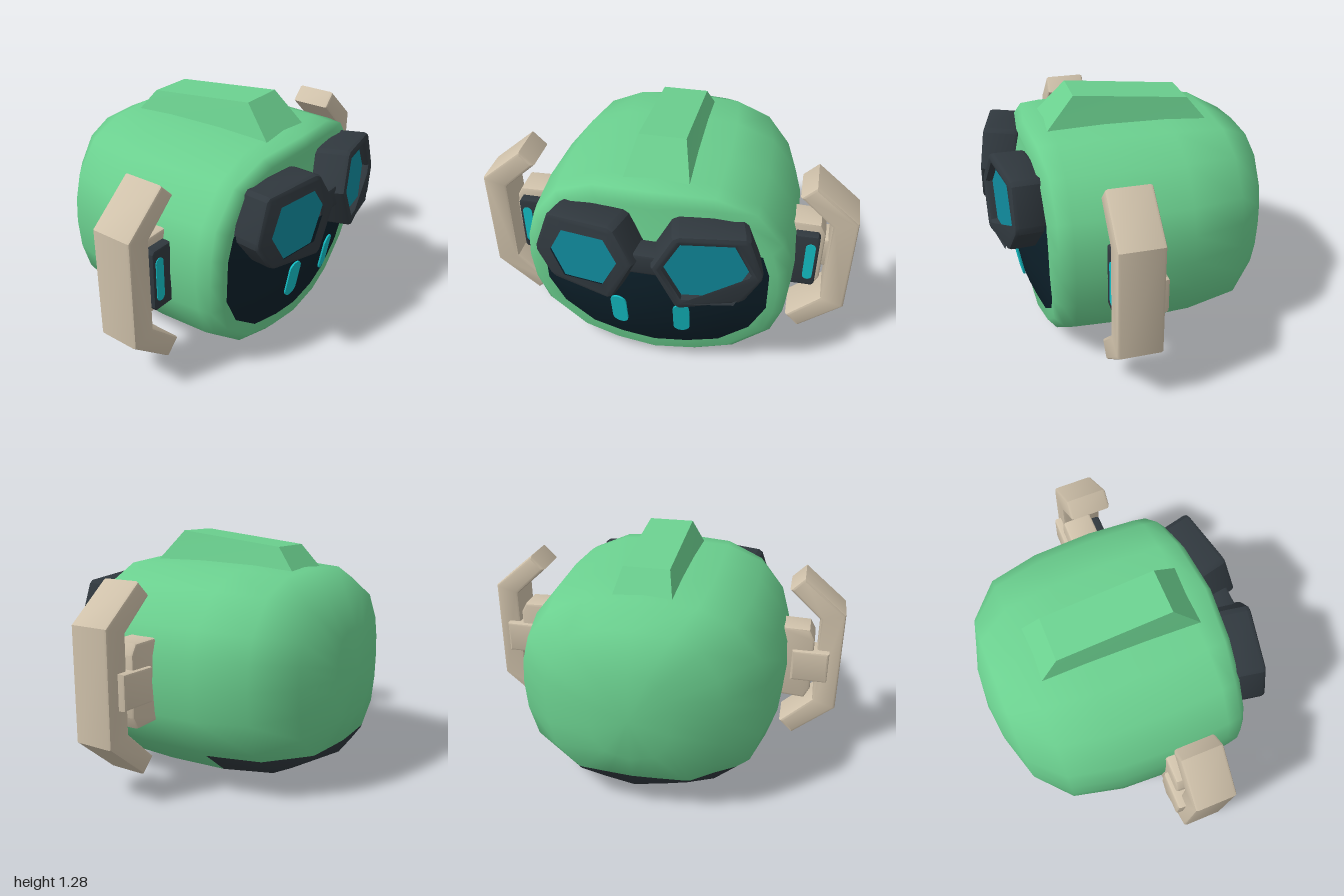
import * as THREE from 'three';
import { mergeVertices, toCreasedNormals } from 'three/addons/utils/BufferGeometryUtils.js';

const paint = (name, color) => Object.assign(new THREE.MeshStandardMaterial({ color }), { name });

// Full counter-clockwise outline from its right half, listed bottom to top
const mirrorOutline = half => [
  ...half, ...half.slice(1, -1).reverse().map(([x, y]) => [-x, y])];

// Closed rings of points joined into one smooth skin
function loft(rings) {
  const n = rings[0].length, index = [];
  for (let i = 0; i < rings.length - 1; i++) {
    for (let j = 0; j < n; j++) {
      const a = i * n + j, b = i * n + (j + 1) % n;
      index.push(a, b, b + n, a, b + n, a + n);
    }
  }
  const g = new THREE.BufferGeometry();
  g.setAttribute('position', new THREE.Float32BufferAttribute(rings.flat(2), 3));
  g.setIndex(index);
  const merged = mergeVertices(g);
  merged.computeVertexNormals();
  return merged;
}

// Splits a skin by a test on triangles and a level cut at height y
function splitBelow(geometry, y, zMax) {
  const g = geometry.toNonIndexed(), P = g.attributes.position, N = g.attributes.normal;
  const sides = [[], []];
  for (let t = 0; t < P.count; t += 3) {
    const tri = [0, 1, 2].map(k => [
      P.getX(t + k), P.getY(t + k), P.getZ(t + k), N.getX(t + k), N.getY(t + k), N.getZ(t + k)]);
    if (tri.some(v => v[2] > zMax + 0.001)) { sides[0].push(...tri); continue; }
    [1, -1].forEach((sign, s) => {
      const poly = [];
      tri.forEach((a, k) => {
        const b = tri[(k + 1) % 3], da = sign * (a[1] - y), db = sign * (b[1] - y);
        if (da >= 0) poly.push(a);
        if (da * db < 0) poly.push(a.map((v, c) => v + (b[c] - v) * da / (da - db)));
      });
      for (let k = 1; k < poly.length - 1; k++) sides[s].push(poly[0], poly[k], poly[k + 1]);
    });
  }
  return sides.map(list => {
    const out = new THREE.BufferGeometry();
    const set = (key, a) => out.setAttribute(key, new THREE.Float32BufferAttribute(list.flatMap(v => v.slice(a, a + 3)), 3));
    set('position', 0);
    set('normal', 3);
    return out;
  });
}

const toShape = pts => new THREE.Shape(pts.map(([x, y]) => new THREE.Vector2(x, y)));

// Extrusion whose bevels stay inside the z range
function slab(shape, z0, z1, bevel = 0) {
  const g = new THREE.ExtrudeGeometry(shape, {
    depth: z1 - z0 - 2 * bevel, bevelEnabled: bevel > 0, bevelSize: bevel, bevelOffset: -bevel,
    bevelThickness: bevel, bevelSegments: 2, curveSegments: 10 });
  g.translate(0, 0, z0 + bevel);
  return toCreasedNormals(g, 0.5);
}

// Upright pill centred on the origin
function pill(w, h) {
  const r = w / 2, d = h / 2 - r, s = new THREE.Shape();
  s.absarc(0, d, r, 0, Math.PI);
  s.absarc(0, -d, r, Math.PI, 2 * Math.PI);
  return s;
}

export function createModel() {
  const green = paint('shell green', 0x6bd08f), visorDark = paint('visor navy', 0x0c1f29),
    charcoal = paint('charcoal', 0x30383e), teal = paint('lens teal', 0x10889a),
    cyan = paint('glow cyan', 0x13bfc6), tan = paint('warm tan', 0xcfc1aa);
  const root = new THREE.Group();
  root.name = 'robotHead';
  const add = (parent, name, geometry, material, x = 0, y = 0, z = 0) => {
    const m = new THREE.Mesh(geometry, material);
    m.name = name;
    m.position.set(x, y, z);
    parent.add(m);
    return m;
  };

  // Bulging face surface shared by the shell front and the visor
  const faceZ = (x, y) => 0.635 - 0.36 * x * x - 0.45 * (y - 0.6) ** 2;

  // Head shell, back to front
  const outline = mirrorOutline([[0, 0.005], [0.23, 0.04], [0.44, 0.08], [0.64, 0.24], [0.695, 0.41],
    [0.71, 0.58], [0.70, 0.72], [0.66, 0.86], [0.52, 1.035], [0.315, 1.12], [0, 1.137]]);
  const ring = (sx, sy, yc, zAt) => outline.map(([ox, oy]) => {
    const x = ox * sx, y = yc + (oy - 0.57) * sy;
    return [x, y, zAt(x, y)];
  });
  const back = [[-0.745, 0, 0, 0.585], [-0.72, 0.29, 0.42, 0.585], [-0.645, 0.64, 0.78, 0.58],
    [-0.475, 0.9, 0.94, 0.575], [-0.2, 0.99, 0.985, 0.57], [0.13, 1.01, 1, 0.57], [0.4, 0.985, 0.995, 0.57]];
  const front = [[0.97, 0.98, 0.015], [0.9, 0.9, 0.032], [0.84, 0.82, -0.005], [0.5, 0.5, -0.012], [0, 0, -0.012]];
  const skin = loft([
    ...back.map(([z, sx, sy, yc]) => ring(sx, sy, yc, () => z)),
    ...front.map(([sx, sy, dz]) => ring(sx, sy, 0.57, (x, y) => faceZ(x, y) + dz))]);
  const [shell, nape] = splitBelow(skin, 0.21, -0.2);
  add(root, 'headShell', shell, green);
  add(root, 'napePad', nape, charcoal);

  // Visor
  const visorOutline = mirrorOutline([[0, 0.12], [0.18, 0.143], [0.35, 0.17], [0.51, 0.29], [0.59, 0.45],
    [0.59, 0.68], [0.55, 0.8], [0.42, 0.86], [0.2, 0.86], [0, 0.86]]);
  add(root, 'visor', loft([1, 0.8, 0.6, 0.4, 0.2, 0].map(s => visorOutline.map(([ox, oy]) => {
    const x = ox * s, y = 0.5 + (oy - 0.5) * s;
    return [x, y, faceZ(x, y) + 0.004];
  }))), visorDark);

  // Crest: a tapered fin made from a box with moved corners
  const crest = new THREE.BoxGeometry(1, 1, 1), cp = crest.attributes.position;
  for (let i = 0; i < cp.count; i++) {
    const top = cp.getY(i) > 0, fore = cp.getZ(i) > 0, side = Math.sign(cp.getX(i));
    if (top) cp.setXYZ(i, side * 0.12, fore ? 1.285 : 1.22, fore ? 0.28 : -0.33);
    else cp.setXYZ(i, side * (fore ? 0.18 : 0.165), fore ? 1.07 : 1.05, fore ? 0.475 : -0.47);
  }
  crest.computeVertexNormals();
  add(root, 'crest', crest, green);

  // Outlines of one goggle, relative to its centre
  const rim = toShape([[-0.265, 0.02], [-0.245, -0.02], [-0.152, -0.205], [-0.125, -0.222], [0.165, -0.182],
    [0.193, -0.165], [0.268, -0.045], [0.27, -0.01], [0.2, 0.178], [0.175, 0.195], [-0.135, 0.205], [-0.168, 0.19]]);
  const opening = [[-0.202, 0.015], [-0.112, -0.155], [0.12, -0.165], [0.2, -0.01], [0.12, 0.14], [-0.122, 0.148]];
  rim.holes.push(new THREE.Path(opening.map(([x, y]) => new THREE.Vector2(x * 1.03, y * 1.03))));
  const flip = (pts, s) => pts.map(p => new THREE.Vector2(p.x * s, p.y));

  // Handle bracket outline
  const handle = [[1, 0.31], [1, 0.89], [0.77, 1.085], [0.695, 1.01], [0.87, 0.85], [0.87, 0.355], [0.695, 0.19], [0.77, 0.115]];
  const pod = [[0.66, 0.38], [0.82, 0.37], [0.85, 0.43], [0.85, 0.74], [0.82, 0.795], [0.66, 0.8]];

  for (const s of [1, -1]) {
    const side = s > 0 ? 'left' : 'right';
    const mirrored = pts => toShape(pts.map(([x, y]) => [x * s, y]));

    // Goggle
    const goggle = new THREE.Group();
    goggle.name = side + 'Goggle';
    goggle.position.set(s * 0.302, 0.832, 0.705);
    goggle.rotation.set(-0.09, s * 0.2, 0);
    root.add(goggle);
    const frame = new THREE.Shape(flip(rim.getPoints(), s));
    frame.holes.push(new THREE.Path(flip(rim.holes[0].getPoints(), s)));
    add(goggle, side + 'GoggleFrame', slab(frame, -0.18, 0.01, 0.022), charcoal);
    add(goggle, side + 'Lens', new THREE.ShapeGeometry(mirrored(opening.map(([x, y]) => [x * 1.08, y * 1.08]))), teal, 0, 0, -0.03);

    // Eye
    const eye = add(root, side + 'Eye', slab(pill(0.085, 0.22), 0, 0.009), cyan, s * 0.165, 0.405, 0.611);
    eye.rotation.set(0.17, s * 0.12, 0);

    // Ear unit and handle
    const ear = new THREE.Group();
    ear.name = side + 'Ear';
    root.add(ear);
    add(ear, side + 'Handle', slab(mirrored(handle), 0.05, 0.277, 0.015), tan);
    add(ear, side + 'EarPod', slab(mirrored(pod), 0.033, 0.2, 0.015), tan);
    add(ear, side + 'EarBracket', slab(toShape([[-0.1, -0.09], [0.1, -0.09], [0.1, 0.09], [-0.1, 0.09]]), 0.01, 0.16, 0.012), tan, s * 0.835, 0.58);
    add(ear, side + 'EarPanel', slab(toShape([[-0.07, -0.168], [0.045, -0.168], [0.057, -0.15], [0.057, 0.15], [0.045, 0.168], [-0.07, 0.168]]
      .map(([x, y]) => [x * s, y])), 0.18, 0.25, 0.01), charcoal, s * 0.768, 0.583);
    add(ear, side + 'EarLight', slab(pill(0.052, 0.24), 0, 0.006), cyan, s * 0.782, 0.583, 0.248);
  }

  // Goggle bridge
  add(root, 'goggleBridge', slab(toShape([[-0.09, -0.06], [0.09, -0.06], [0.09, 0.06], [-0.09, 0.06]]), 0.59, 0.715, 0.015), charcoal, 0, 0.828);
  return root;
}
